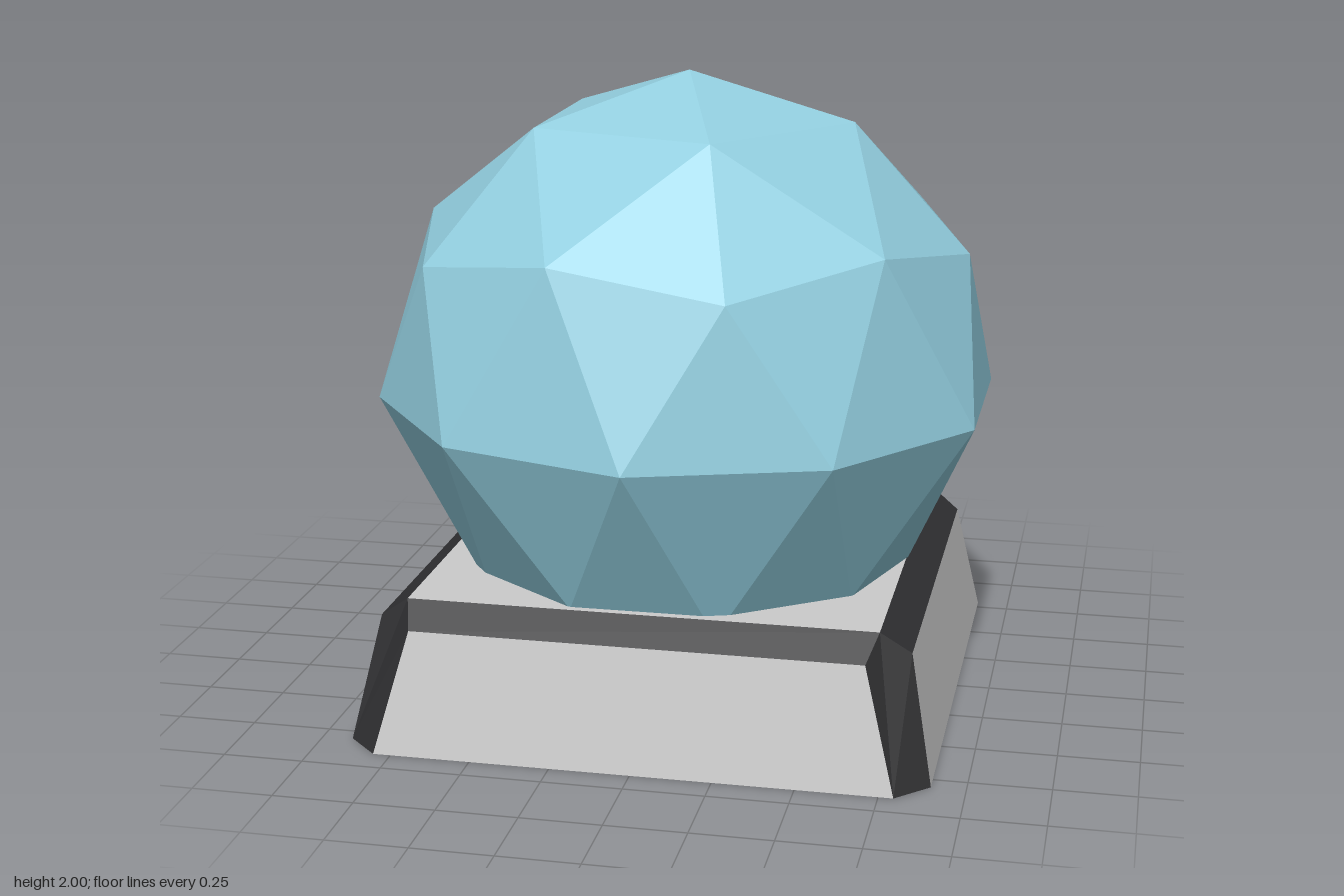
import * as THREE from 'three';

const grey = new THREE.MeshStandardMaterial({ color: 0xcccccc, flatShading: true });
const black = new THREE.MeshStandardMaterial({ color: 0x303032, flatShading: true });
const teal = new THREE.MeshStandardMaterial({ color: 0x93cfe0, flatShading: true });

// Flat convex polygon, corners counter-clockwise seen from outside
function polygon(name, corners, material) {
  const pos = [];
  for (let i = 1; i < corners.length - 1; i++) pos.push(...corners[0], ...corners[i], ...corners[i + 1]);
  const geo = new THREE.BufferGeometry();
  geo.setAttribute('position', new THREE.Float32BufferAttribute(pos, 3));
  geo.computeVertexNormals();
  const mesh = new THREE.Mesh(geo, material);
  mesh.name = name;
  return mesh;
}

// Faceted ball: icosphere standing on a vertex, lower half pulled in to a flat foot
function createBall() {
  const geo = new THREE.IcosahedronGeometry(1, 1);
  geo.rotateX(-Math.atan((1 + Math.sqrt(5)) / 2));
  geo.rotateY(Math.PI / 2);
  const p = geo.attributes.position;
  for (let i = 0; i < p.count; i++) {
    const x = p.getX(i), y = p.getY(i), z = p.getZ(i);
    const r = Math.hypot(x, z);
    let newY = y, newR = r;
    if (Math.abs(y) < 0.1) newY = -0.035;                            // widest ring
    else if (y < -0.6) { newY = -0.63; newR = r * 0.8; }             // flat foot
    else if (y < -0.5) { newY = -0.63; newR = 0.695; }
    else if (y < -0.1) { newY = -0.56; newR = 0.74; }
    const k = r > 1e-6 ? newR / r : 1;
    p.setXYZ(i, x * k, newY, z * k);
  }
  geo.computeVertexNormals();
  const ball = new THREE.Mesh(geo, teal);
  ball.name = 'facetedBall';
  ball.position.y = 1;
  return ball;
}

// Tapered base with grey panels and black bevelled edges
function createBase() {
  const base = new THREE.Group();
  base.name = 'base';
  const foot = 0.9, footIn = 0.8;            // at the ground
  const mid = 0.825, midIn = 0.7, midY = 0.38; // under the rim
  const top = 0.73, topY = 0.45;             // inner edge of the rim

  for (let i = 0; i < 4; i++) {
    const side = new THREE.Group();
    side.name = 'baseSide' + (i + 1);
    side.rotation.y = i * Math.PI / 2;
    side.add(
      polygon('sidePanel', [[-footIn, 0, foot], [footIn, 0, foot], [midIn, midY, mid], [-midIn, midY, mid]], grey),
      polygon('rimBevel', [[-midIn, midY, mid], [midIn, midY, mid], [top, topY, top], [-top, topY, top]], black),
      polygon('cornerBevel', [[footIn, 0, foot], [foot, 0, footIn], [mid, midY, midIn], [top, topY, top], [midIn, midY, mid]], black),
    );
    base.add(side);
  }

  base.add(polygon('baseTop', [[-top, topY, top], [top, topY, top], [top, topY, -top], [-top, topY, -top]], grey));
  base.add(polygon('baseUnderside', [
    [footIn, 0, foot], [-footIn, 0, foot], [-foot, 0, footIn], [-foot, 0, -footIn],
    [-footIn, 0, -foot], [footIn, 0, -foot], [foot, 0, -footIn], [foot, 0, footIn],
  ], grey));
  base.position.set(-0.005, 0, 0.005);
  return base;
}

export function createModel() {
  const model = new THREE.Group();
  model.name = 'ballOnBase';
  model.add(createBall(), createBase());
  return model;
}
